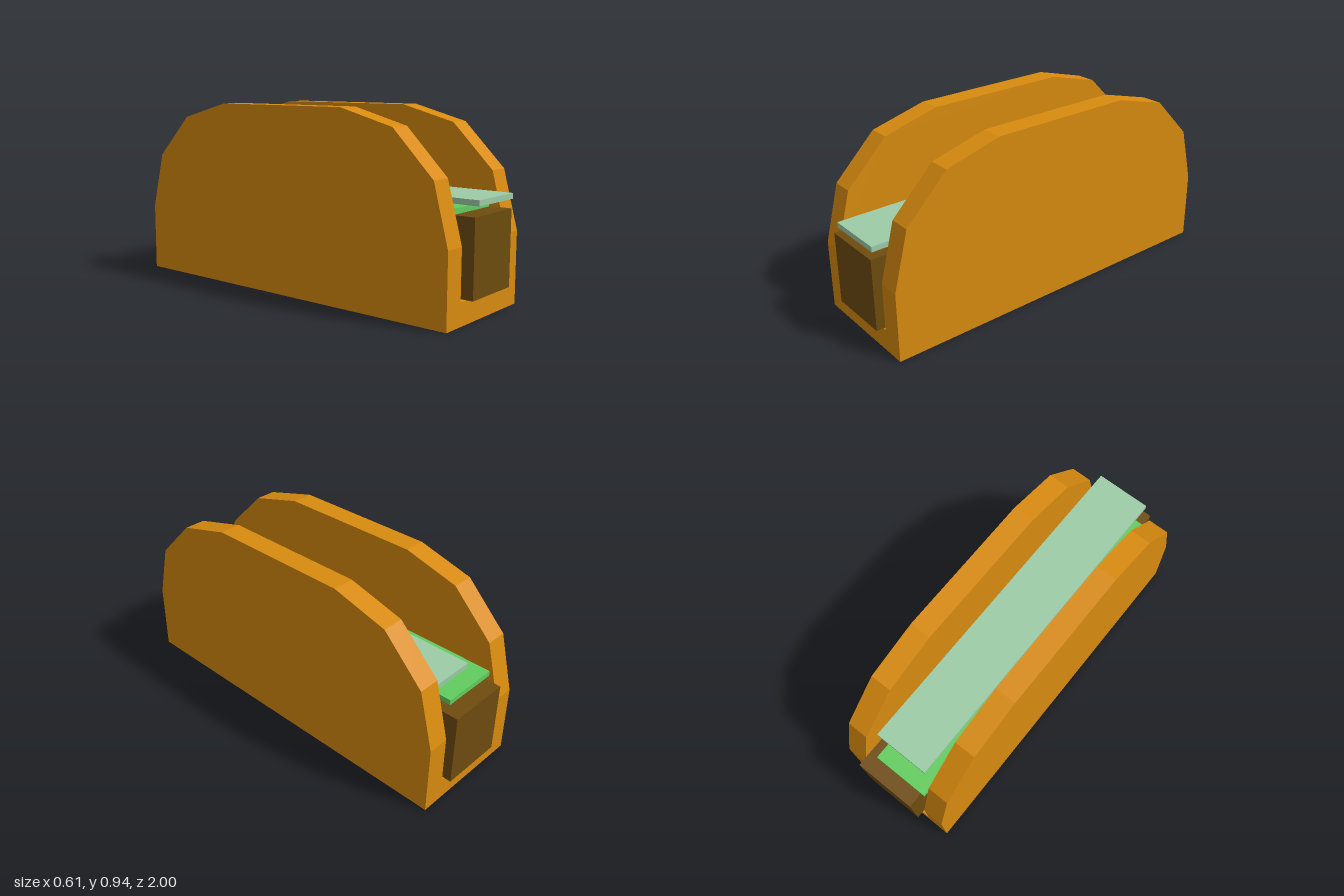
import * as THREE from 'three';

export function createModel() {
  const model = new THREE.Group();
  model.name = 'filledShell';

  const makeMaterial = (name, color) => {
    const material = new THREE.MeshStandardMaterial({ color });
    material.name = name;
    return material;
  };
  const shellOrange = makeMaterial('shell orange', 0xd98b0f);
  const fillingBrown = makeMaterial('filling brown', 0x6e4c0e);
  const leafGreen = makeMaterial('leaf green', 0x62cd5f);
  const paleGreen = makeMaterial('pale green', 0x9dcca7);

  const add = (name, geometry, material) => {
    const mesh = new THREE.Mesh(geometry, material);
    mesh.name = name;
    model.add(mesh);
    return mesh;
  };

  // Box given by its minimum and maximum on each axis
  const addBox = (name, [x0, x1], [y0, y1], [z0, z1], material) => {
    const geometry = new THREE.BoxGeometry(x1 - x0, y1 - y0, z1 - z0);
    geometry.translate((x0 + x1) / 2, (y0 + y1) / 2, (z0 + z1) / 2);
    return add(name, geometry, material);
  };

  // Faceted arch outline, mirrored front to back
  const half = [[0.965, 0], [0.965, 0.355], [0.888, 0.645], [0.673, 0.86], [0.382, 0.938]];
  const outline = [...half, ...half.map(([z, y]) => [-z, y]).reverse()];
  const arch = new THREE.Shape(outline.map(([z, y]) => new THREE.Vector2(z, y)));

  // Two upright shell walls
  const inner = 0.194, outer = 0.305;
  const wall = new THREE.ExtrudeGeometry(arch, { depth: outer - inner, bevelEnabled: false });
  wall.rotateY(Math.PI / 2);
  add('leftShellWall', wall, shellOrange).position.x = inner;
  add('rightShellWall', wall, shellOrange).position.x = -outer;

  // Shell floor joining the walls
  addBox('shellFloor', [-inner, inner], [0, 0.111], [-0.965, 0.965], shellOrange);

  // Filling and the two loose leaves above it
  addBox('filling', [-0.15, 0.176], [0.112, 0.48], [-1, 1], fillingBrown);
  addBox('lowerLeaf', [-0.175, 0.125], [0.486, 0.513], [-0.92, 0.912], leafGreen);
  addBox('upperLeaf', [-0.112, 0.189], [0.523, 0.55], [-0.838, 0.998], paleGreen);

  return model;
}
